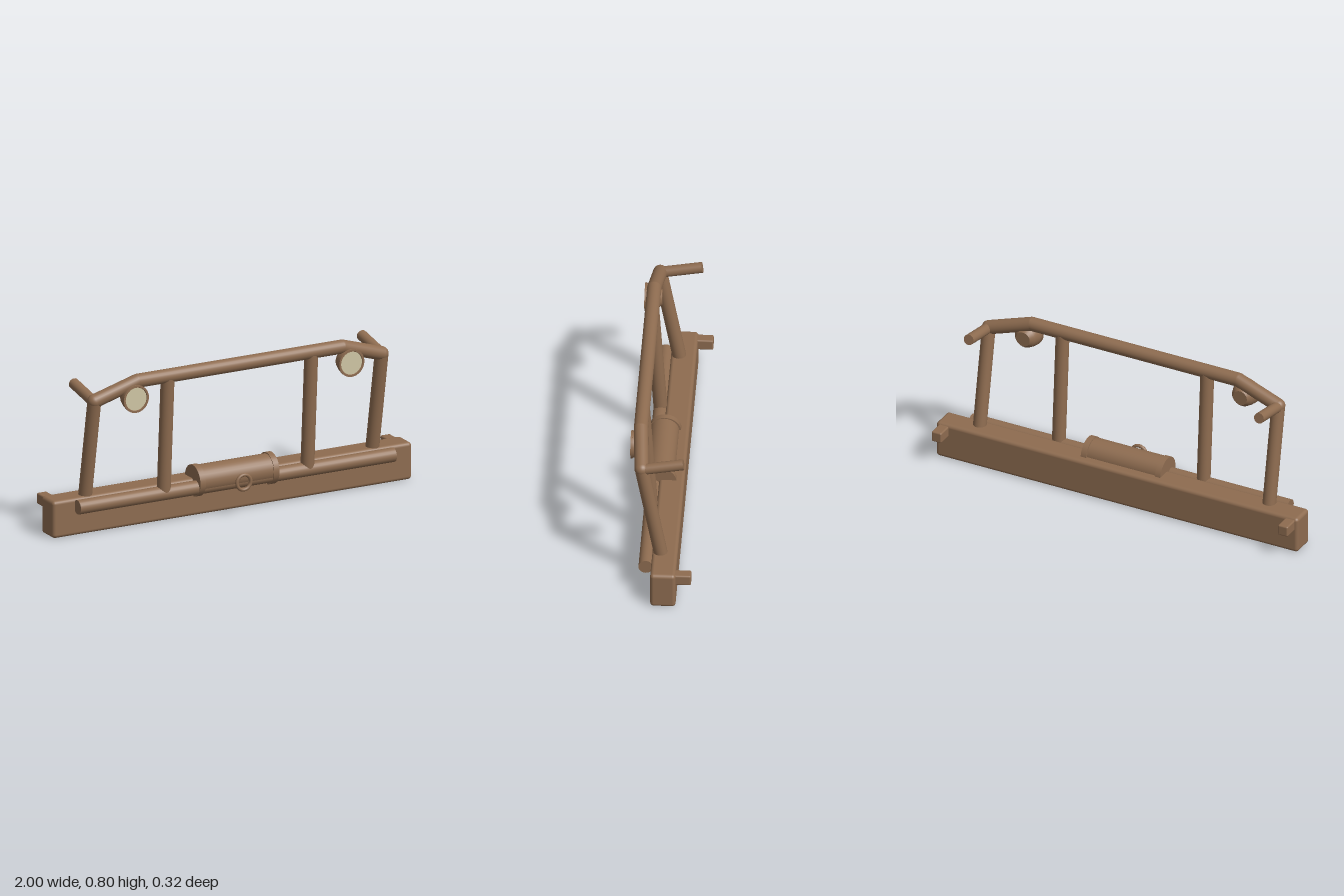
import * as THREE from 'three';
import { RoundedBoxGeometry } from 'three/addons/geometries/RoundedBoxGeometry.js';

const paint = new THREE.MeshStandardMaterial({ color: 0x8e6c50 });
paint.name = 'brown paint';
const glass = new THREE.MeshStandardMaterial({ color: 0xcfc6a4 });
glass.name = 'cream lens';

export function createModel() {
  const model = new THREE.Group();
  model.name = 'bumper';

  function add(name, geometry, x = 0, y = 0, z = 0, material = paint) {
    const mesh = new THREE.Mesh(geometry, material);
    mesh.name = name;
    mesh.position.set(x, y, z);
    model.add(mesh);
    return mesh;
  }

  // Straight round bar between two points
  function bar(name, from, to, radius, sides = 24) {
    const a = new THREE.Vector3(...from);
    const b = new THREE.Vector3(...to);
    const dir = b.clone().sub(a);
    const mesh = add(name, new THREE.CylinderGeometry(radius, radius, dir.length(), sides));
    mesh.position.copy(a).add(b).multiplyScalar(0.5);
    mesh.quaternion.setFromUnitVectors(new THREE.Vector3(0, 1, 0), dir.normalize());
    return mesh;
  }

  // Main beam and the tube along its front
  add('mainBeam', new RoundedBoxGeometry(2, 0.19, 0.125, 3, 0.018), 0, 0.095, -0.0225);
  bar('lowerTube', [-0.88, 0.153, 0.067], [0.88, 0.153, 0.067], 0.036);

  // Winch drum, end flanges and tow ring
  bar('winchDrum', [-0.195, 0.182, 0.037], [0.195, 0.182, 0.037], 0.073, 32);
  for (const s of [-1, 1]) {
    bar('winchFlange', [s * 0.19, 0.18, 0.034], [s * 0.22, 0.18, 0.034], 0.08, 32);
  }
  add('towRing', new THREE.TorusGeometry(0.038, 0.009, 12, 32), 0, 0.17, 0.152);

  // Top rail with its straight middle
  const tubeR = 0.035;
  bar('topRail', [-0.57, 0.766, 0.108], [0.57, 0.766, 0.108], tubeR);

  // Lamp housing profile, from the closed back to the rim
  const lampProfile = [
    [0, 0.07], [0.038, 0.07], [0.055, 0.09], [0.065, 0.12], [0.066, 0.145],
    [0.07, 0.145], [0.07, 0.155], [0.06, 0.155], [0.058, 0.15], [0, 0.15],
  ];
  // Separate bands keep the profile's edges crisp
  function lampBand(first, last) {
    const points = lampProfile.slice(first, last + 1).map(([r, z]) => new THREE.Vector2(r, z));
    return new THREE.LatheGeometry(points, 32).rotateX(Math.PI / 2);
  }

  for (const s of [-1, 1]) {
    // Sloping rail ends with rounded bends
    const bend = [s * 0.57, 0.766, 0.108];
    const corner = [s * 0.8, 0.692, 0.092];
    bar('railEnd', bend, corner, tubeR);
    add('railBend', new THREE.SphereGeometry(tubeR, 24, 16), ...bend);
    add('railCorner', new THREE.SphereGeometry(tubeR, 24, 16), ...corner);

    // Uprights
    bar('innerPost', [s * 0.4, 0.155, 0.067], [s * 0.4, 0.755, 0.107], 0.034);
    bar('outerPost', [s * 0.8, 0.15, -0.008], corner, 0.034);

    // Rear stays and mounting lugs
    bar('rearStay', [s * 0.802, 0.692, 0.075], [s * 0.802, 0.727, -0.114], 0.027);
    add('mountingLug', new RoundedBoxGeometry(0.055, 0.056, 0.1, 2, 0.008), s * 0.957, 0.153, -0.11);

    // Lamps
    const bands = [[0, 1], [1, 4], [4, 5], [5, 6], [6, 7], [7, 8], [8, 9]];
    for (const [a, b] of bands) {
      const mesh = add('lampHousing', lampBand(a, b), s * 0.6, 0.689, 0);
      mesh.material = paint;
    }
    add('lampLens', new THREE.CircleGeometry(0.058, 32), s * 0.6, 0.689, 0.152, glass);
  }
  return model;
}
